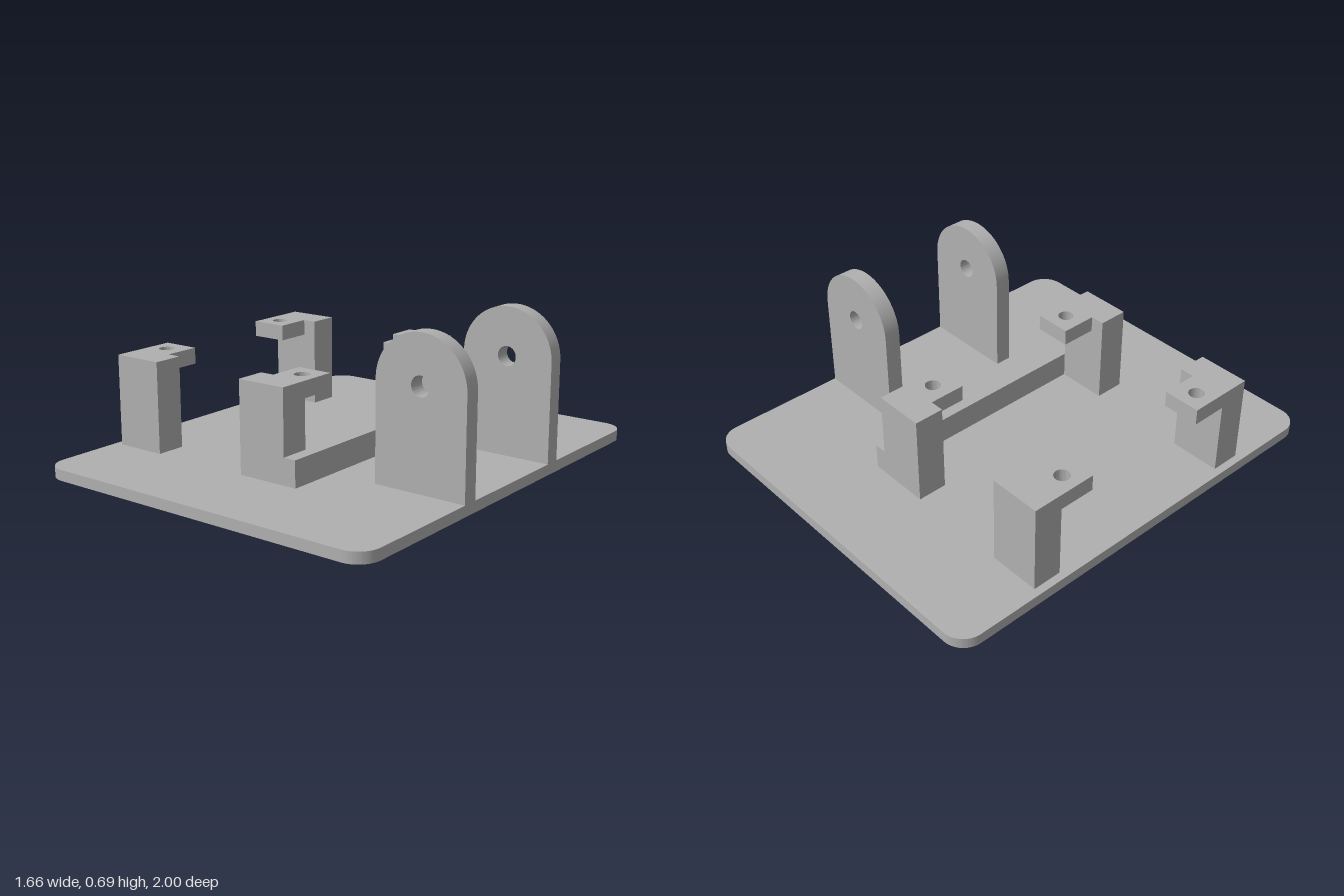
import * as THREE from 'three';
import { toCreasedNormals } from 'three/addons/utils/BufferGeometryUtils.js';

const BASE_TOP = 0.048;

export function createModel() {
  const group = new THREE.Group();
  const grey = new THREE.MeshStandardMaterial({ color: 0xb0b0b0 });
  grey.name = 'grey';

  const add = (name, geometry, parent = group) => {
    const mesh = new THREE.Mesh(geometry, grey);
    mesh.name = name;
    parent.add(mesh);
    return mesh;
  };
  const box = (x0, x1, y0, y1, z0, z1) =>
    new THREE.BoxGeometry(x1 - x0, y1 - y0, z1 - z0)
      .translate((x0 + x1) / 2, (y0 + y1) / 2, (z0 + z1) / 2);
  const extrude = (shape, depth) => toCreasedNormals(
    new THREE.ExtrudeGeometry(shape, { depth, bevelEnabled: false, curveSegments: 24 }), 0.6);
  // Shape lying flat: its y becomes -z, its thickness rises from y0
  const slab = (shape, y0, y1) => extrude(shape, y1 - y0).rotateX(-Math.PI / 2).translate(0, y0, 0);
  const hole = (x, y, r) => new THREE.Path().absarc(x, y, r, 0, Math.PI * 2, true);

  // Base plate with rounded corners
  const w = 0.83, d = 1, r = 0.1;
  const base = new THREE.Shape();
  base.absarc(w - r, d - r, r, 0, Math.PI / 2);
  base.absarc(-w + r, d - r, r, Math.PI / 2, Math.PI);
  base.absarc(-w + r, -d + r, r, Math.PI, Math.PI * 1.5);
  base.absarc(w - r, -d + r, r, Math.PI * 1.5, Math.PI * 2);
  base.closePath();
  add('basePlate', slab(base, 0, BASE_TOP));

  // Low rib joining the middle posts
  add('rib', box(0.133, 0.191, BASE_TOP, 0.165, -0.597, 0.597));

  // Upright lug with rounded top and pin hole
  const lug = new THREE.Shape();
  lug.moveTo(0.405, BASE_TOP);
  lug.lineTo(0.829, BASE_TOP);
  lug.absarc(0.617, 0.483, 0.212, 0, Math.PI);
  lug.closePath();
  lug.holes.push(hole(0.617, 0.483, 0.043));

  for (const s of [1, -1]) {
    const side = s > 0 ? 'front' : 'back';
    add(side + 'Lug', extrude(lug, 0.074).translate(0, 0, s * 0.32 - 0.037));

    // Posts, each with a drilled tab pointing inwards
    for (const [name, x0, x1, t0, t1, hx] of [
      ['OuterPost', -0.795, -0.562, -0.795, -0.626, -0.715],
      ['MiddlePost', -0.097, 0.133, -0.032, 0.133, 0.055],
    ]) {
      const post = new THREE.Group();
      post.name = side + name;
      group.add(post);
      const [z0, z1] = s > 0 ? [0.462, 0.597] : [-0.597, -0.462];
      add('column', box(x0, x1, BASE_TOP, 0.452, z0, z1), post);

      const [y0, y1] = s > 0 ? [-0.462, -0.298] : [0.298, 0.462];
      const tab = new THREE.Shape();
      tab.moveTo(t0, y0);
      tab.lineTo(t1, y0);
      tab.lineTo(t1, y1);
      tab.lineTo(t0, y1);
      tab.closePath();
      tab.holes.push(hole(hx, -s * 0.384, 0.034));
      add('tab', slab(tab, 0.38, 0.452), post);
    }
  }
  return group;
}
